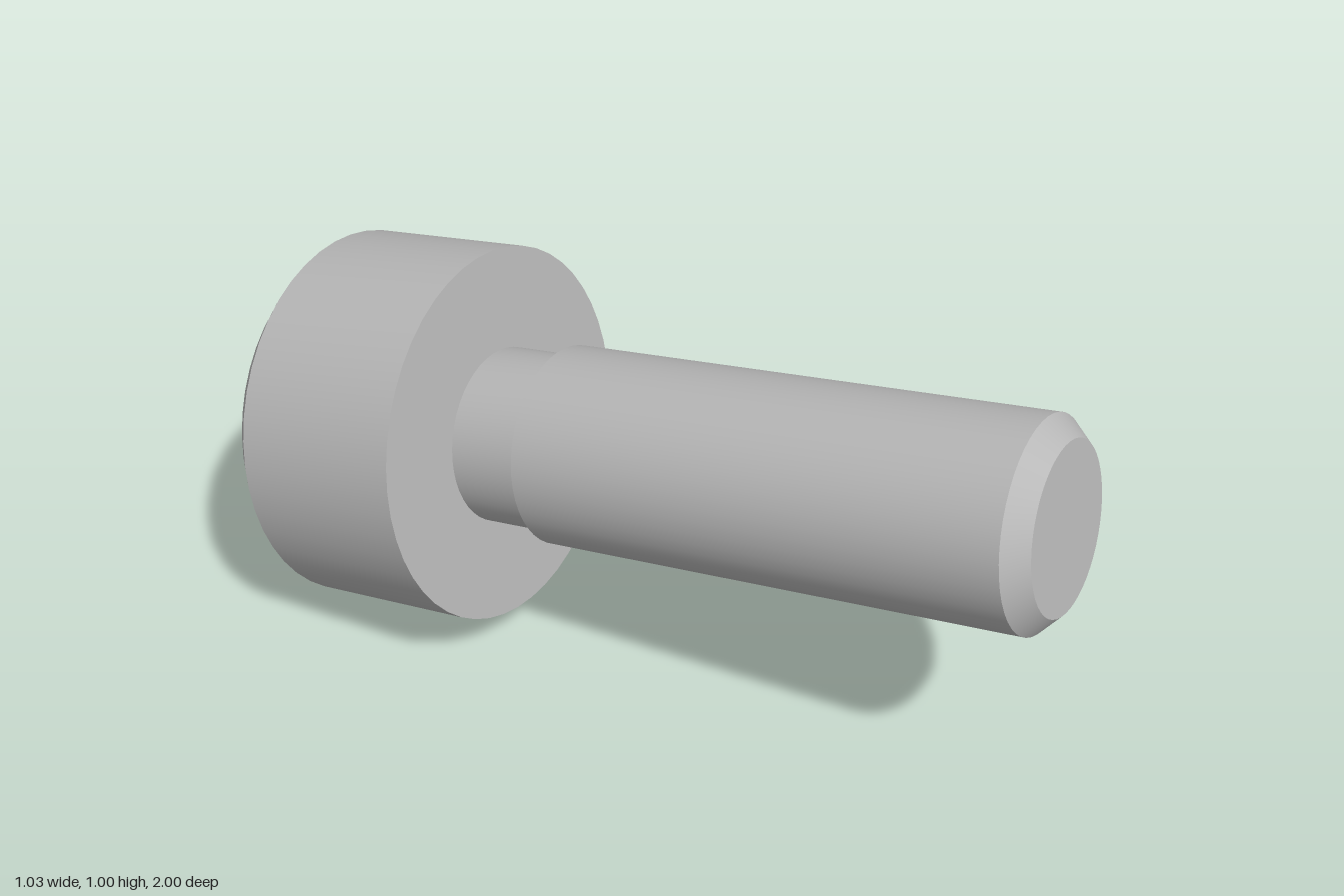
import * as THREE from 'three';
import { toCreasedNormals } from 'three/addons/utils/BufferGeometryUtils.js';

const SEGMENTS = 48;
const HEAD_R = 0.454, FACE_R = 0.41, HEAD_H = 0.475;
const NECK_R = 0.212, SHAFT_R = 0.238, TIP_R = 0.191;
const HEX_R = 0.21, HEX_DEPTH = 0.23;

export function createModel() {
  const steel = new THREE.MeshStandardMaterial({ color: 0xb8b8b8 });
  steel.name = 'steel grey';

  const bolt = new THREE.Group();
  bolt.name = 'socketBolt';

  function add(name, geometry) {
    const mesh = new THREE.Mesh(geometry, steel);
    mesh.name = name;
    bolt.add(mesh);
  }

  // Turned part with crisp edges; y runs from the head (negative) to the tip
  function turned(profile, segments = SEGMENTS) {
    const points = profile.map(([r, y]) => new THREE.Vector2(r, y));
    return toCreasedNormals(new THREE.LatheGeometry(points, segments), 0.5);
  }

  // Points of a ring, in step with the lathe's own corners
  function ring(radius, count) {
    return Array.from({ length: count }, (_, i) => {
      const a = (i / count) * Math.PI * 2;
      return new THREE.Vector2(radius * Math.sin(a), radius * Math.cos(a));
    });
  }

  // Head: bevelled rim, side and underside
  add('head', turned([
    [FACE_R, -HEAD_H], [HEAD_R, -HEAD_H + 0.045], [HEAD_R, 0], [NECK_R - 0.01, 0],
  ]));

  // Head face with a hexagonal opening
  const faceShape = new THREE.Shape(ring(FACE_R, SEGMENTS));
  faceShape.holes.push(new THREE.Path(ring(HEX_R, 6)));
  const face = new THREE.ShapeGeometry(faceShape);
  face.rotateX(Math.PI / 2).translate(0, -HEAD_H, 0);
  add('headFace', face);

  // Hex socket: floor and inward-facing walls
  const floor = -HEAD_H + HEX_DEPTH;
  add('hexSocket', turned([[0, floor], [HEX_R, floor], [HEX_R, -HEAD_H]], 6));

  // Narrow neck under the head
  add('neck', turned([[NECK_R, 0], [NECK_R, 0.188]]));

  // Shaft with a shoulder at the neck and a chamfered tip
  add('shaft', turned([
    [NECK_R - 0.01, 0.188], [SHAFT_R, 0.188], [SHAFT_R, 1.386], [TIP_R, 1.435], [0, 1.435],
  ]));

  // Tilt: the bolt axis, and one socket corner that sets the roll
  const axis = new THREE.Vector3(0.194, 0.176, 0.965).normalize();
  const corner = new THREE.Vector3(0.28, 0.934, -0.22);
  const side = new THREE.Vector3().crossVectors(axis, corner).normalize();
  corner.crossVectors(side, axis);
  bolt.quaternion.setFromRotationMatrix(new THREE.Matrix4().makeBasis(side, axis, corner));
  bolt.position.set(0.01, 0.523, -0.435);

  const model = new THREE.Group();
  model.name = 'bolt';
  model.add(bolt);
  return model;
}
